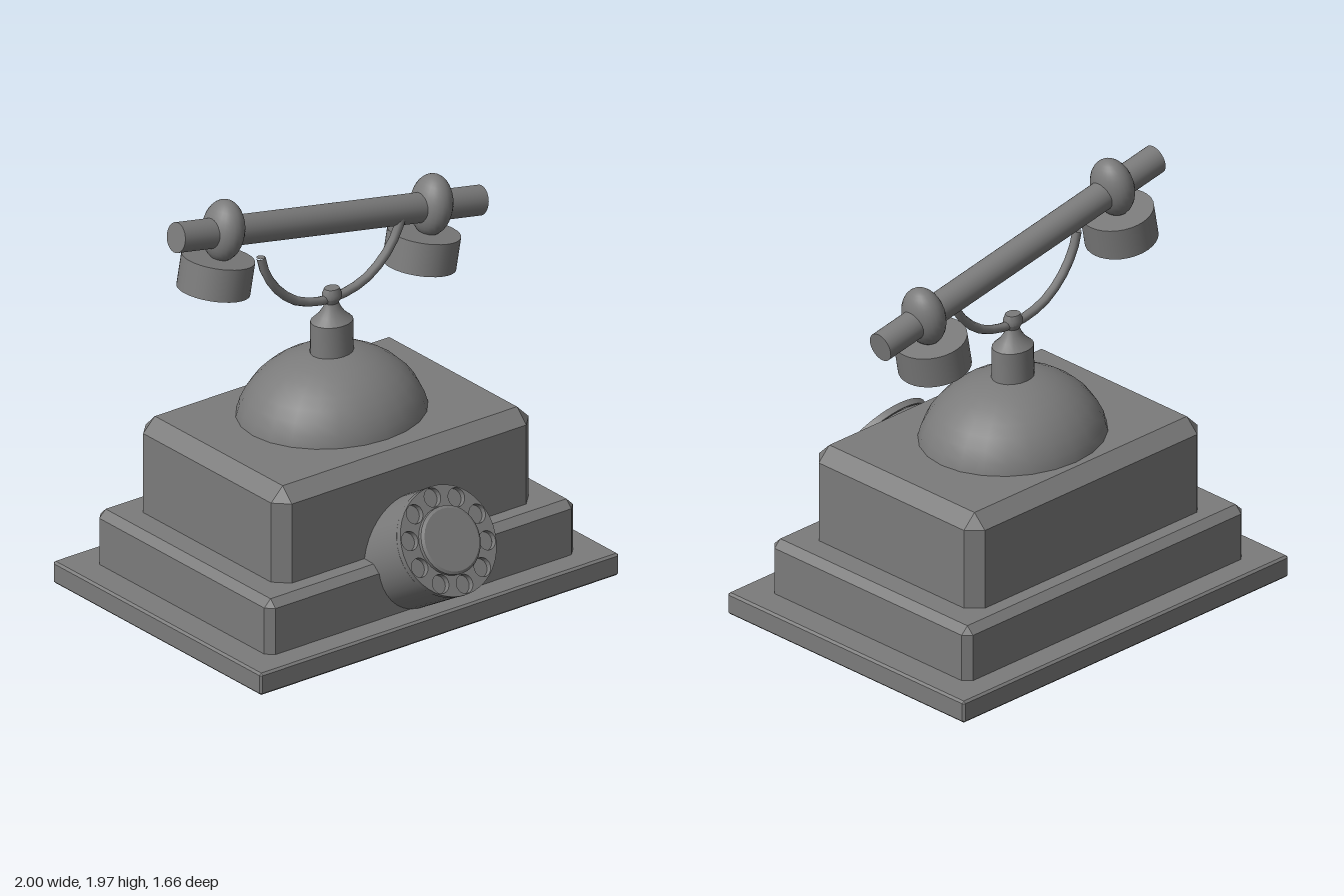
import * as THREE from 'three';
import { toCreasedNormals } from 'three/addons/utils/BufferGeometryUtils.js';
import { ConvexGeometry } from 'three/addons/geometries/ConvexGeometry.js';

const darkGrey = new THREE.MeshStandardMaterial({ color: 0x7b7b7b });

function add(parent, name, geometry, x = 0, y = 0, z = 0) {
  const mesh = new THREE.Mesh(geometry, darkGrey);
  mesh.name = name;
  mesh.position.set(x, y, z);
  parent.add(mesh);
  return mesh;
}

function addGroup(parent, name, x, y, z) {
  const group = new THREE.Group();
  group.name = name;
  group.position.set(x, y, z);
  parent.add(group);
  return group;
}

// Box with every edge cut at 45 degrees
function chamferBox(w, h, d, c) {
  const points = [];
  for (const sx of [-1, 1]) for (const sy of [-1, 1]) for (const sz of [-1, 1]) {
    for (let axis = 0; axis < 3; axis++) {
      const cut = [c, c, c];
      cut[axis] = 0;
      points.push(new THREE.Vector3(
        sx * (w / 2 - cut[0]), sy * (h / 2 - cut[1]), sz * (d / 2 - cut[2])));
    }
  }
  return new ConvexGeometry(points);
}

function lathe(profile, segments) {
  const points = profile.map(([r, y]) => new THREE.Vector2(r, y));
  return toCreasedNormals(new THREE.LatheGeometry(points, segments), 0.55);
}

export function createModel() {
  const model = new THREE.Group();
  model.name = 'telephone';

  // Stepped case: half width, bottom, top, back, front, chamfer
  const tiers = [
    ['basePlate', 1, 0.004, 0.11, -0.833, 0.643, 0.01],
    ['lowerCase', 0.86, 0.06, 0.368, -0.713, 0.524, 0.035],
    ['upperCase', 0.718, 0.2, 0.816, -0.613, 0.422, 0.065],
  ];
  for (const [name, hw, y0, y1, z0, z1, c] of tiers) {
    add(model, name, chamferBox(hw * 2, y1 - y0, z1 - z0, c), 0, (y0 + y1) / 2, (z0 + z1) / 2);
  }

  // Dome and neck, slightly squashed front to back
  const dome = add(model, 'dome',
    new THREE.SphereGeometry(1, 24, 10, 0, Math.PI * 2, 0, Math.PI / 2), 0, 0.755, -0.125);
  dome.scale.set(0.447, 0.357, 0.4);
  const neck = add(model, 'neck', lathe([
    [0.103, 1.05], [0.1, 1.25], [0.065, 1.28], [0.043, 1.31], [0.033, 1.335],
    [0.046, 1.36], [0.046, 1.38], [0.036, 1.405], [0, 1.405],
  ], 20), 0, 0, -0.125);
  neck.scale.z = 0.85;

  // Curved cradle under the handset
  const half = [[0.395, 1.668], [0.37, 1.585], [0.3, 1.48], [0.2, 1.4], [0.1, 1.365]];
  const path = [
    ...half.map(([x, y]) => new THREE.Vector3(-x, y, 0)),
    new THREE.Vector3(0, 1.355, 0),
    ...half.slice().reverse().map(([x, y]) => new THREE.Vector3(x, y, 0)),
  ];
  const cradle = addGroup(model, 'cradle', 0, 0, -0.125);
  add(cradle, 'cradleArm',
    new THREE.TubeGeometry(new THREE.CatmullRomCurve3(path), 16, 0.021, 8));
  for (const s of [-1, 1]) {
    const tip = add(cradle, 'cradleTip', new THREE.CircleGeometry(0.021, 8), s * 0.395, 1.668, 0);
    tip.rotation.x = -Math.PI / 2;
  }

  // Handset, resting at a slant
  const handset = addGroup(model, 'handset', 0.01, 1.72, -0.166);
  handset.rotation.z = -0.184;
  const rod = add(handset, 'handle', new THREE.CylinderGeometry(0.069, 0.069, 1.72, 24));
  rod.rotation.z = Math.PI / 2;
  rod.scale.z = 0.93;
  for (const s of [-1, 1]) {
    const collar = add(handset, 'collar', new THREE.SphereGeometry(1, 24, 16), s * 0.59 - 0.004, 0.008, 0);
    collar.scale.set(0.086, 0.141, 0.11);
    add(handset, s < 0 ? 'earpiece' : 'mouthpiece',
      new THREE.CylinderGeometry(0.164, 0.164, 0.152, 32), s * 0.584 - 0.015, -0.194, 0);
  }

  // Tilted dial: local z points out of its face
  const dial = addGroup(model, 'dial', -0.003, 0.49, 0.707);
  dial.rotation.x = -Math.PI / 6;
  const drum = add(dial, 'dialDrum', new THREE.CylinderGeometry(0.248, 0.248, 0.511, 40), 0, 0, -0.2915);
  drum.rotation.x = Math.PI / 2;

  // Finger plate with ten holes
  const disc = new THREE.Shape().absarc(0, 0, 0.25, 0, Math.PI * 2);
  for (let i = 0; i < 10; i++) {
    const a = Math.PI / 2 + 0.05 + (i * Math.PI) / 5;
    disc.holes.push(new THREE.Path().absarc(
      Math.cos(a) * 0.202, Math.sin(a) * 0.202, 0.043, 0, Math.PI * 2, true));
  }
  const plate = new THREE.ExtrudeGeometry(disc, { depth: 0.03, bevelEnabled: false, curveSegments: 20 });
  add(dial, 'fingerPlate', toCreasedNormals(plate, 0.6), 0, 0, -0.032);

  // Raised hub
  const hub = add(dial, 'dialHub', lathe([
    [0.155, -0.01], [0.155, 0.017], [0.142, 0.025], [0, 0.025],
  ], 32));
  hub.rotation.x = Math.PI / 2;

  return model;
}
